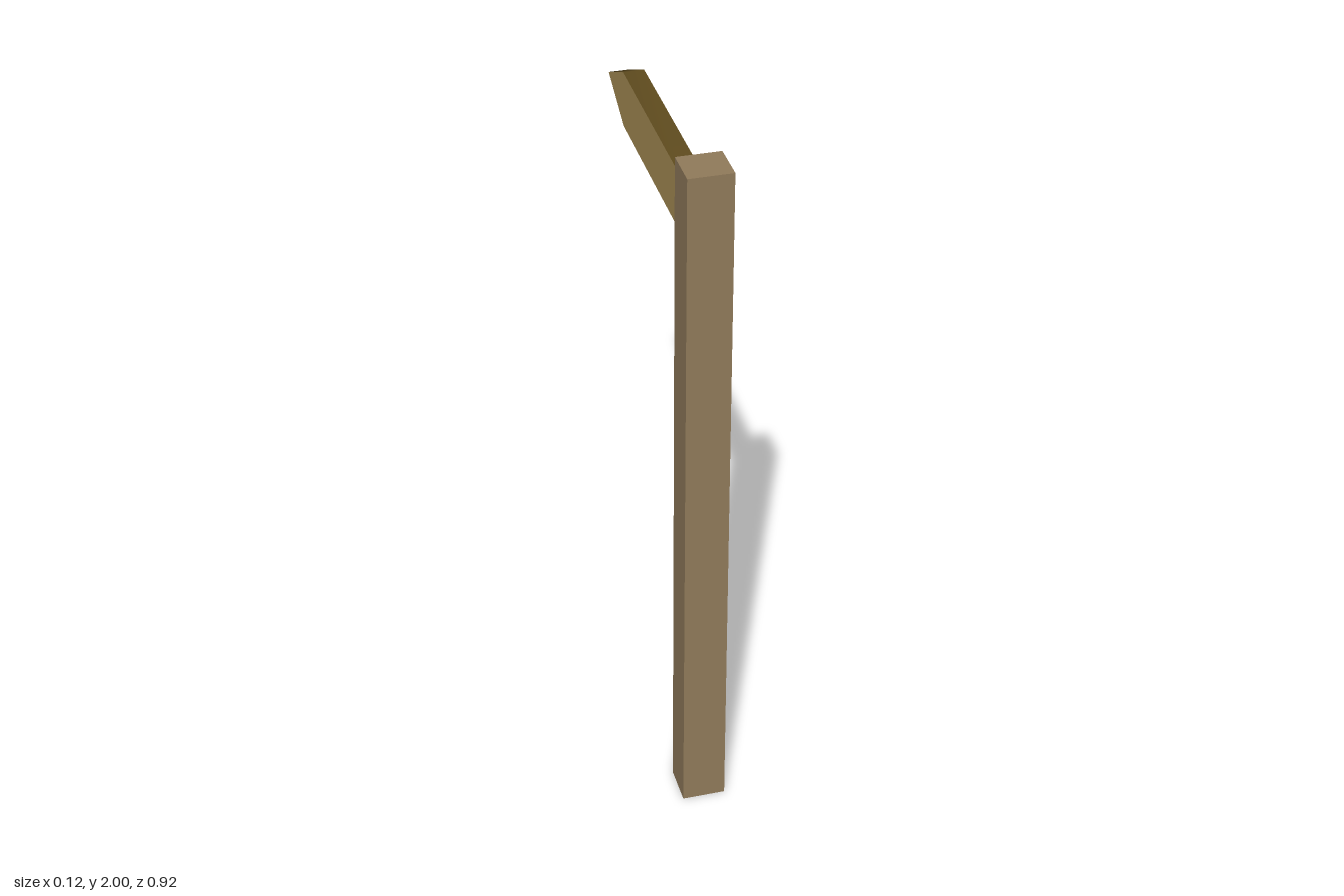
import * as THREE from 'three';

const HALF = 0.029; // half thickness of the arrow board

// Arrow outline as [z, y], from the post along the bottom, round the tip and back
const outline = [[0.346, 1.75], [-0.295, 1.75], [-0.46, 1.83], [-0.295, 1.91], [0.346, 1.91]];

function flat(name, color) {
  const m = new THREE.MeshStandardMaterial({ color });
  m.name = name;
  return m;
}

// Flat arrow face looking along +x (side 1) or -x (side -1)
function arrowFace(side) {
  const shape = new THREE.Shape(outline.map(([z, y]) => new THREE.Vector2(-side * z, y)));
  return new THREE.ShapeGeometry(shape).rotateY(side * Math.PI / 2).translate(side * HALF, 0, 0);
}

// Rim strip round the arrow, with smooth normals over its corners
function arrowRim() {
  const positions = [], index = [];
  outline.forEach(([z, y], i) => {
    positions.push(HALF, y, z, -HALF, y, z);
    if (i === outline.length - 1) return;
    const a = i * 2;
    index.push(a, a + 1, a + 3, a, a + 3, a + 2);
  });
  const g = new THREE.BufferGeometry();
  g.setAttribute('position', new THREE.Float32BufferAttribute(positions, 3));
  g.setIndex(index);
  g.computeVertexNormals();
  return g;
}

export function createModel() {
  const postWood = flat('post wood', 0x917b5b);
  const boardWood = flat('board wood', 0xa98f56);
  const rimWood = flat('dark rim wood', 0x614d1f);

  const model = new THREE.Group();
  model.name = 'signpost';
  const add = (parent, name, geometry, material) => {
    const mesh = new THREE.Mesh(geometry, material);
    mesh.name = name;
    parent.add(mesh);
  };

  // Square upright post
  add(model, 'post', new THREE.BoxGeometry(0.12, 2, 0.114).translate(0, 1, 0.403), postWood);

  // Arrow board pointing to the back
  const board = new THREE.Group();
  board.name = 'arrowBoard';
  add(board, 'leftFace', arrowFace(1), boardWood);
  add(board, 'rightFace', arrowFace(-1), boardWood);
  add(board, 'rim', arrowRim(), rimWood);
  model.add(board);

  return model;
}
